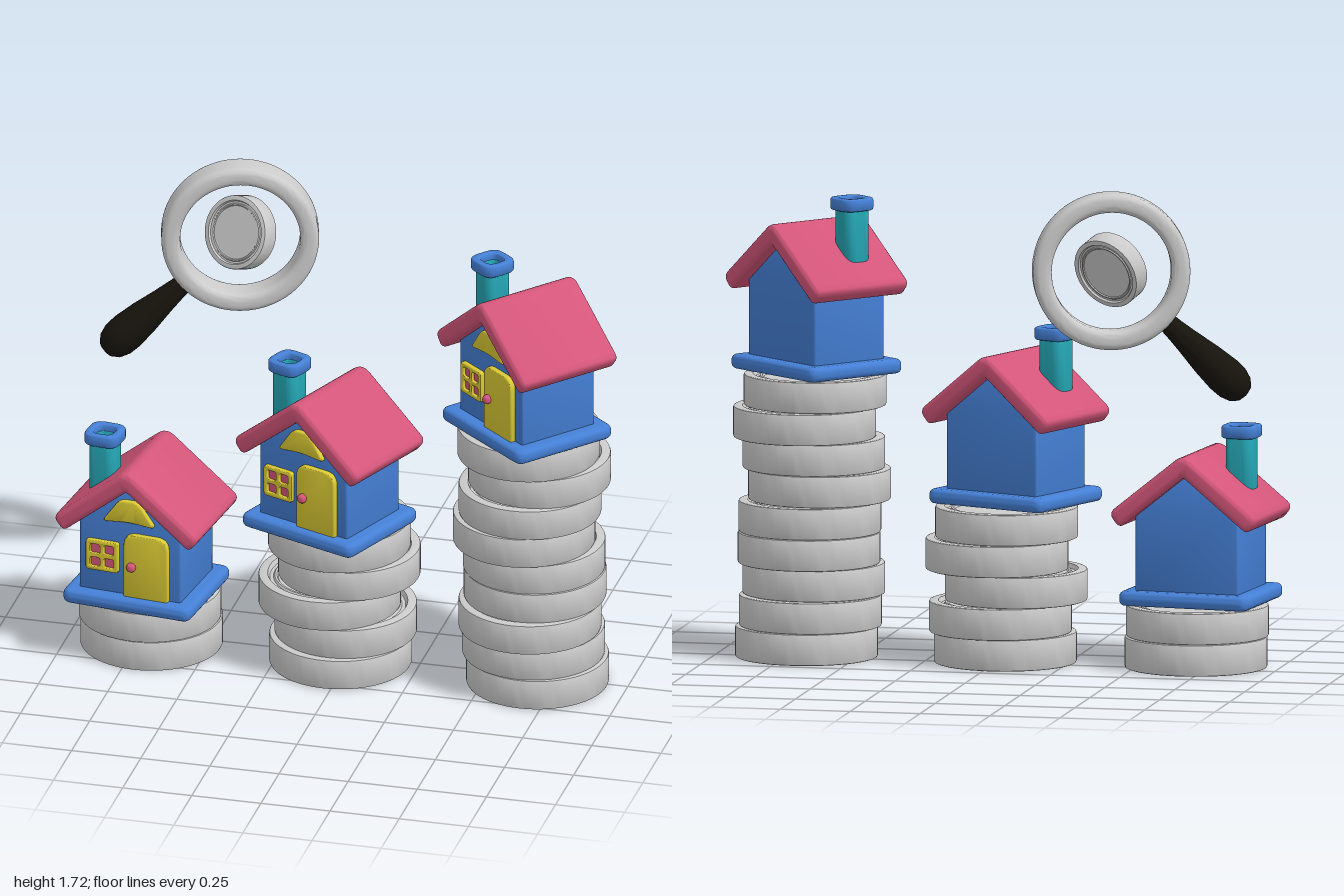
import * as THREE from 'three';
import { toCreasedNormals } from 'three/addons/utils/BufferGeometryUtils.js';

const mat = (color) => new THREE.MeshStandardMaterial({ color });
const grey = mat(0xcccccc), blue = mat(0x4580d6), pink = mat(0xd4567a);
const yellow = mat(0xdccb34), teal = mat(0x24a5b3), black = mat(0x17140d);

function add(parent, name, geometry, material, x = 0, y = 0, z = 0) {
  const mesh = new THREE.Mesh(toCreasedNormals(geometry, 0.6), material);
  mesh.name = name;
  mesh.position.set(x, y, z);
  parent.add(mesh);
  return mesh;
}

// Polygon with rounded corners; r is one radius or one per corner
function roundedPoly(points, r, Type = THREE.Shape) {
  const path = new Type();
  const p = points.map(([x, y]) => new THREE.Vector2(x, y));
  p.forEach((c, i) => {
    const rad = Array.isArray(r) ? r[i] : r;
    const toward = (q) => c.clone().add(q.clone().sub(c).setLength(rad));
    const a = toward(p[(i + p.length - 1) % p.length]);
    const b = toward(p[(i + 1) % p.length]);
    if (i === 0) path.moveTo(a.x, a.y); else path.lineTo(a.x, a.y);
    path.quadraticCurveTo(c.x, c.y, b.x, b.y);
  });
  path.closePath();
  return path;
}

const rect = (w, h, r, Type, cx = 0, cy = 0) => roundedPoly(
  [[cx - w / 2, cy - h / 2], [cx + w / 2, cy - h / 2], [cx + w / 2, cy + h / 2], [cx - w / 2, cy + h / 2]], r, Type);

// Extruded slab with softened edges, from z = 0 to z = depth
function slab(shape, depth, bevel) {
  const g = new THREE.ExtrudeGeometry(shape, {
    depth: depth - 2 * bevel, bevelThickness: bevel, bevelSize: bevel,
    bevelOffset: -bevel, bevelSegments: 4, curveSegments: 6,
  });
  return g.translate(0, 0, bevel);
}
// The same slab lying flat, from y = 0 to y = depth
const flatSlab = (shape, depth, bevel) => slab(shape, depth, bevel).rotateX(-Math.PI / 2);

const lathe = (pts, segments = 64) =>
  new THREE.LatheGeometry(pts.map(([x, y]) => new THREE.Vector2(x, y)), segments);

// Coin with raised rims and a fine raised ring on each sunken face
function coinGeometry(R, t) {
  const d = 0.06 * R, e = 0.025 * R;
  const half = [[0, d], [0.72 * R, d], [0.74 * R, d * 0.5], [0.77 * R, d * 0.5], [0.79 * R, d],
    [0.84 * R, d], [0.87 * R, 0], [R - e, 0], [R - e * 0.3, e * 0.3], [R, e]];
  return lathe([...half, ...half.map(([r, y]) => [r, t - y]).reverse()]);
}

function coinStack(name, x, z, offsets) {
  const stack = new THREE.Group();
  stack.name = name;
  const geometry = coinGeometry(0.25, 0.111);
  offsets.forEach(([dx, dz], i) => add(stack, 'coin', geometry, grey, x + dx, i * 0.111, z + dz));
  return stack;
}

function house() {
  const g = new THREE.Group();
  const front = 0.155;
  add(g, 'basePlate', flatSlab(rect(0.48, 0.41, 0.035), 0.052, 0.02), blue);

  // Walls with gables, under an overhanging roof
  const walls = roundedPoly([[-0.19, 0.04], [0.19, 0.04], [0.19, 0.345], [0, 0.495], [-0.19, 0.345]], 0.008);
  add(g, 'walls', slab(walls, 2 * front, 0.008), blue, 0, 0, -front);
  const roof = roundedPoly([[0, 0.463], [0.235, 0.275], [0.277, 0.325], [0, 0.547], [-0.277, 0.325], [-0.235, 0.275]],
    [0.01, 0.02, 0.03, 0.04, 0.03, 0.02]);
  add(g, 'roof', slab(roof, 0.41, 0.02), pink, 0, 0, -0.205);

  // Hollow chimney with a cap
  const tube = (w, hole) => {
    const s = rect(w, w, w * 0.35);
    s.holes.push(rect(hole, hole, hole * 0.35, THREE.Path));
    return s;
  };
  add(g, 'chimney', flatSlab(tube(0.1, 0.066), 0.24, 0.003), teal, -0.133, 0.36, 0.054);
  add(g, 'chimneyCap', flatSlab(tube(0.13, 0.07), 0.045, 0.01), blue, -0.133, 0.58, 0.054);

  // Door and knob
  const door = roundedPoly([[-0.018, 0.05], [0.148, 0.05], [0.148, 0.292], [-0.018, 0.292]], [0.005, 0.005, 0.045, 0.045]);
  add(g, 'door', slab(door, 0.03, 0.006), yellow, 0, 0, front - 0.01);
  add(g, 'doorKnob', new THREE.SphereGeometry(0.017, 20, 14), pink, 0.014, 0.17, front + 0.026);

  // Four-pane window
  const frame = rect(0.122, 0.115, 0.012);
  for (const sx of [-1, 1]) for (const sy of [-1, 1]) {
    frame.holes.push(rect(0.036, 0.034, 0.008, THREE.Path, sx * 0.026, sy * 0.025));
  }
  add(g, 'windowFrame', slab(frame, 0.025, 0.004), yellow, -0.1, 0.19, front - 0.008);
  add(g, 'windowPanes', new THREE.BoxGeometry(0.1, 0.095, 0.014), pink, -0.1, 0.19, front);

  // Gable ornament
  const gable = roundedPoly([[-0.1, 0.327], [0, 0.337], [0.1, 0.327], [0.035, 0.418], [-0.035, 0.418]],
    [0.02, 0.03, 0.02, 0.025, 0.025]);
  add(g, 'gablePanel', slab(gable, 0.025, 0.006), yellow, 0, 0, front - 0.008);
  return g;
}

function magnifier() {
  const g = new THREE.Group();
  g.name = 'magnifier';
  const ring = rect(0.066, 0.116, 0.028, THREE.Shape, 0.243, 0).getPoints(6).map((p) => [p.x, p.y]);
  add(g, 'lensRing', lathe(ring, 80).rotateX(Math.PI / 2), grey);

  // Tapered grip, fatter toward its rounded end
  const grip = lathe([[0, 0.235], [0.033, 0.235], [0.037, 0.3], [0.046, 0.37], [0.06, 0.46], [0.068, 0.54],
    [0.066, 0.585], [0.054, 0.62], [0.032, 0.642], [0, 0.65]], 32);
  add(g, 'handle', grip, black).rotation.z = Math.PI * 0.74;

  g.position.set(-0.476, 1.442, -0.283);
  g.rotation.y = 0.27;
  return g;
}

export function createModel() {
  const model = new THREE.Group();

  const sites = [
    { name: 'low', x: -0.71, z: 0.12, turn: -0.12, stackZ: 0.06, coins: [[0.004, 0], [0, 0.005]] },
    { name: 'middle', x: -0.05, z: 0.11, turn: -0.38, stackZ: 0.03,
      coins: [[0.022, 0.01], [0.035, -0.01], [-0.017, 0.01], [0.047, -0.015], [0.015, 0]] },
    { name: 'tall', x: 0.66, z: 0.095, turn: -0.7, stackZ: 0.04,
      coins: [[0.02, -0.015], [0.006, -0.015], [0, 0.012], [0.011, -0.015], [0.008, -0.015],
        [-0.021, 0.012], [0, 0.012], [0.027, -0.015], [-0.005, 0.012]] },
  ];
  for (const s of sites) {
    model.add(coinStack(s.name + 'CoinStack', s.x, s.stackZ, s.coins));
    const h = house();
    h.name = s.name + 'House';
    h.position.set(s.x, s.coins.length * 0.111, s.z);
    h.rotation.y = s.turn;
    model.add(h);
  }

  model.add(magnifier());

  // Small coin floating inside the lens, tilted toward the front
  const coin = add(model, 'lensCoin', coinGeometry(0.13, 0.07).translate(0, -0.035, 0), grey, -0.477, 1.447, -0.293);
  coin.quaternion.setFromUnitVectors(new THREE.Vector3(0, 1, 0), new THREE.Vector3(-0.37, 0.34, 0.86).normalize());
  return model;
}
